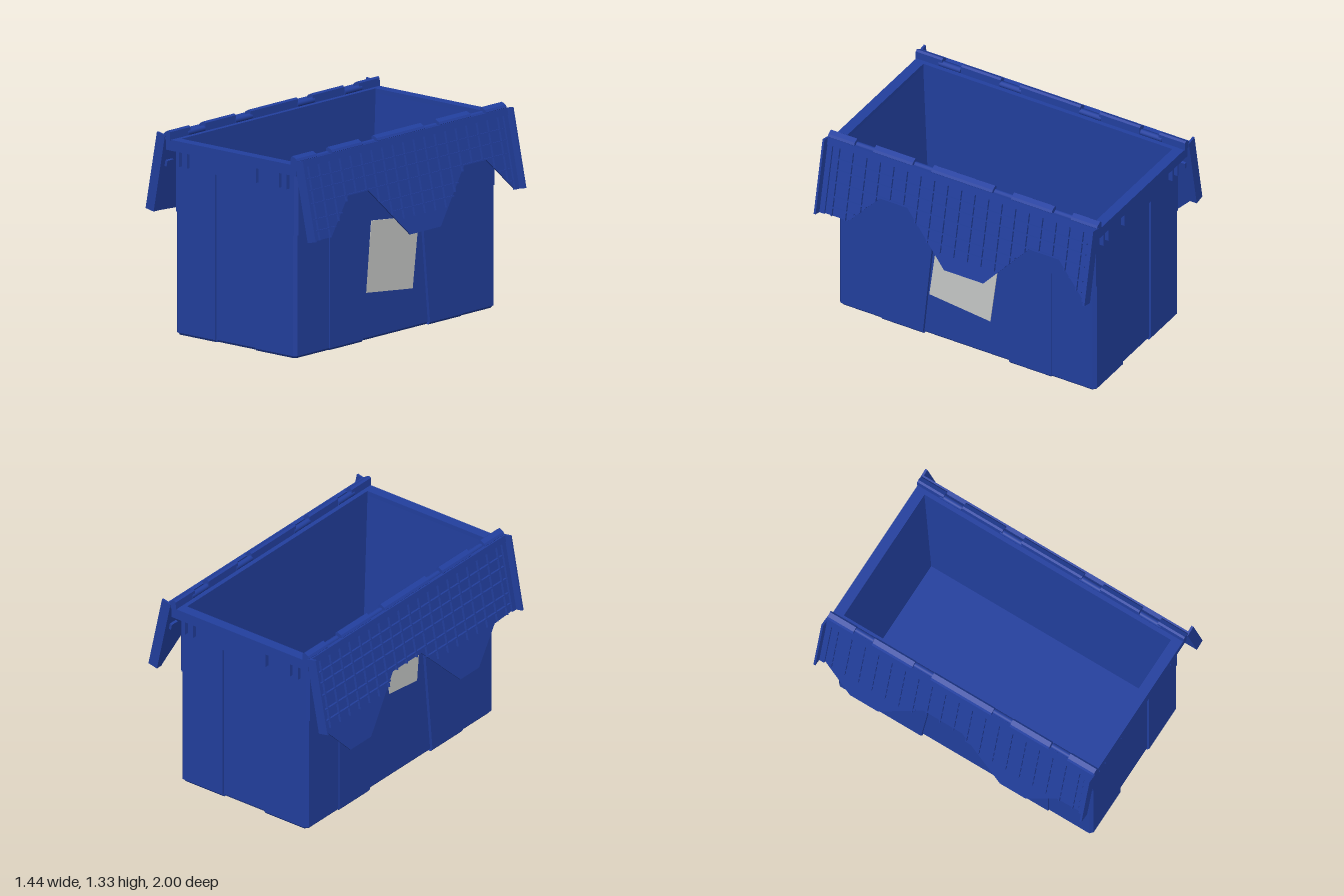
import * as THREE from 'three';

const blue = new THREE.MeshStandardMaterial({ color: 0x223f9e });
blue.name = 'blue plastic';
const grey = new THREE.MeshStandardMaterial({ color: 0xc6c8c7 });
grey.name = 'label grey';

function add(parent, geometry, name, material = blue) {
  const mesh = new THREE.Mesh(geometry, material);
  mesh.name = name;
  parent.add(mesh);
  return mesh;
}

// Box given by its minimum and maximum corners
function box(parent, name, x0, x1, y0, y1, z0, z1) {
  const mesh = add(parent, new THREE.BoxGeometry(x1 - x0, y1 - y0, z1 - z0), name);
  mesh.position.set((x0 + x1) / 2, (y0 + y1) / 2, (z0 + z1) / 2);
  return mesh;
}

const toShape = pts => new THREE.Shape(pts.map(p => new THREE.Vector2(p[0], p[1])));
const rect = (x, z) => [[x, z], [-x, z], [-x, -z], [x, -z]];

// Plan outline extruded upward from y0 to y1, with an optional opening
function layer(outline, hole, y0, y1) {
  const shape = toShape(outline);
  if (hole) shape.holes.push(toShape(hole));
  const g = new THREE.ExtrudeGeometry(shape, { depth: y1 - y0, bevelEnabled: false });
  return g.rotateX(-Math.PI / 2).translate(0, y0, 0);
}

// (z, y) polygon extruded along x
function sidePlate(pts, x0, x1) {
  const g = new THREE.ExtrudeGeometry(toShape(pts.map(([z, y]) => [-z, y])), { depth: x1 - x0, bevelEnabled: false });
  return g.rotateY(Math.PI / 2).translate(x0, 0, 0);
}

// Move vertices by a rule and refresh the normals
function reshape(g, rule) {
  const p = g.attributes.position, v = new THREE.Vector3();
  for (let i = 0; i < p.count; i++) {
    rule(v.fromBufferAttribute(p, i));
    p.setXYZ(i, v.x, v.y, v.z);
  }
  g.computeVertexNormals();
  return g;
}

// Mirror one quarter of the plan into a full outline
function fourfold(q) {
  const r = [...q].reverse();
  return [...q, ...r.map(([x, z]) => [-x, z]), ...q.map(([x, z]) => [-x, -z]), ...r.map(([x, z]) => [x, -z])];
}

function buildBin() {
  const bin = new THREE.Group();
  bin.name = 'bin';
  const hole = rect(0.48, 0.92);
  const endRecess = [[0.17, 0.95], [0.17, 0.935]];
  const lower = fourfold([[0.5, 0.32], [0.52, 0.32], [0.52, 0.63], [0.51, 0.63], [0.51, 0.93], [0.49, 0.95], ...endRecess]);
  const middle = fourfold([[0.52, 0.93], [0.5, 0.95], ...endRecess]);
  const upper = fourfold([[0.52, 0.93], [0.5, 0.95]]);

  // Walls; the central side recess narrows upward
  add(bin, reshape(layer(lower, hole, 0.015, 0.8), v => {
    if (Math.abs(Math.abs(v.z) - 0.32) < 0.001) v.z *= 1 - 0.25 * v.y / 0.8;
  }), 'lowerWalls');
  add(bin, layer(middle, hole, 0.8, 1.1), 'middleWalls');
  add(bin, layer(upper, hole, 1.1, 1.255), 'upperWalls');

  // Floor with a chamfered bottom edge
  add(bin, reshape(layer(lower, null, 0, 0.02), v => {
    if (v.y < 0.001) { v.x *= 0.975; v.z *= 0.987; }
  }), 'floor');

  // Rim with a hanging lip
  add(bin, layer(rect(0.55, 0.99), hole, 1.25, 1.27), 'rimTop');
  add(bin, layer(rect(0.55, 0.99), rect(0.535, 0.975), 1.2, 1.25), 'rimLip');

  for (const s of [1, -1]) {
    // Sloping inner end wall
    const wedge = new THREE.ExtrudeGeometry(
      toShape([[0.87, 0.02], [0.925, 0.02], [0.925, 1.24], [0.92, 1.24]]), { depth: 0.96, bevelEnabled: false });
    wedge.rotateY(-Math.PI / 2).translate(0.48, 0, 0);
    if (s < 0) wedge.rotateY(Math.PI);
    add(bin, wedge, 'innerEndWall');

    // Handle apron and stiffening ribs under the rim
    const [z0, z1] = s > 0 ? [0.94, 0.978] : [-0.978, -0.94];
    box(bin, 'handleApron', -0.2, 0.2, 1.1, 1.25, z0, z1);
    for (const x of [-0.455, -0.39, 0.39, 0.455]) box(bin, 'rimRib', x - 0.005, x + 0.005, 1.1, 1.25, z0, z1);

    // Hinge rail in sections, with barrels in the gaps
    const rail = [[0.51, 1.265], [0.55, 1.265], [0.565, 1.3], [0.555, 1.315], [0.525, 1.33], [0.512, 1.32]];
    for (const [a, b] of [[0.8, 0.995], [0.37, 0.66], [-0.22, 0.23], [-0.66, -0.36], [-0.995, -0.8]]) {
      const pts = s > 0 ? rail : rail.map(([x, y]) => [-x, y]).reverse();
      const g = new THREE.ExtrudeGeometry(toShape(pts), { depth: b - a, bevelEnabled: false });
      add(bin, g.translate(0, 0, a), 'hingeRail');
    }
    for (const z of [0.745, 0.295, -0.295, -0.745]) {
      const barrel = add(bin, new THREE.CylinderGeometry(0.02, 0.02, 0.16, 12).rotateX(Math.PI / 2), 'hingeBarrel');
      barrel.position.set(s * 0.525, 1.285, z);
    }
  }

  // Paper labels on the long sides
  add(bin, sidePlate([[0.22, 0.77], [0.28, 0.31], [-0.17, 0.26], [-0.23, 0.72]], 0.499, 0.505), 'label', grey);
  add(bin, sidePlate([[-0.12, 0.79], [-0.1, 0.61], [0.18, 0.58], [0.2, 0.78]], -0.505, -0.499), 'label', grey);
  return bin;
}

// Lid half hanging from its hinge; edge lists (z, distance from the hinge)
function buildLid(name, edge) {
  const lid = new THREE.Group();
  lid.name = name;
  add(lid, sidePlate([[-0.99, 0], [0.99, 0], [0.99, 0.52], ...edge, [-0.99, 0.52]].map(([z, d]) => [z, -d]), 0, 0.008), 'lidPanel');
  box(lid, 'lidTopBorder', 0, 0.028, -0.045, 0, -0.99, 0.99);

  for (const s of [1, -1]) {
    box(lid, 'lidEndSkirt', 0, 0.07, -0.52, 0, s * 0.993 - 0.007, s * 0.993 + 0.007);
    box(lid, 'lidEndBorder', 0, 0.022, -0.52, 0, s * 0.968 - 0.018, s * 0.968 + 0.018);
    box(lid, 'lidStop', -0.018, 0.005, -0.215, -0.175, s * 0.93 - 0.03, s * 0.93 + 0.03);
  }

  // Depth of the panel at a given z
  const depth = z => {
    for (let i = 1; i < edge.length; i++) {
      const [za, da] = edge[i - 1], [zb, db] = edge[i];
      if (z <= za && z >= zb) return da + (db - da) * (za - z) / (za - zb);
    }
    return 0;
  };

  // Grid of ribs cut to the panel edge
  for (let i = -9; i <= 9; i++) {
    const z = i * 0.1;
    box(lid, 'lidRibDown', 0.004, 0.024, -Math.min(depth(z), 0.52), -0.04, z - 0.004, z + 0.004);
  }
  for (const d of [0.125, 0.2, 0.285, 0.385, 0.46]) {
    let start = null;
    for (let i = -47; i <= 48; i++) {
      const z = i * 0.02, inside = i < 48 && depth(z) >= d;
      if (inside && start === null) start = z;
      if (!inside && start !== null) {
        box(lid, 'lidRibAcross', 0.004, 0.024, -d - 0.004, -d + 0.004, start, z - 0.02);
        start = null;
      }
    }
  }
  return lid;
}

export function createModel() {
  const model = new THREE.Group();
  model.name = 'storageCrate';
  const bin = buildBin();
  bin.position.x = -0.01;
  model.add(bin);

  // Left lid half with a single central tongue
  const left = buildLid('leftLid', [[0.95, 0.52], [0.78, 0.52], [0.57, 0.29], [0.38, 0.29], [0.06, 0.63],
    [-0.23, 0.63], [-0.53, 0.29], [-0.74, 0.29], [-0.95, 0.51]]);
  left.position.set(0.54, 1.295, 0);
  left.rotation.z = 0.212;
  model.add(left);

  // Right lid half with two interlocking tongues, turned to the other side
  const right = buildLid('rightLid', [[0.95, 0.52], [0.74, 0.745], [0.53, 0.745], [0.23, 0.42], [-0.06, 0.42],
    [-0.38, 0.745], [-0.57, 0.745], [-0.78, 0.53], [-0.95, 0.52]]);
  right.rotation.z = 0.186;
  const turned = new THREE.Group();
  turned.name = 'rightLidMount';
  turned.rotation.y = Math.PI;
  turned.position.set(-0.56, 1.295, 0);
  turned.add(right);
  model.add(turned);
  return model;
}
